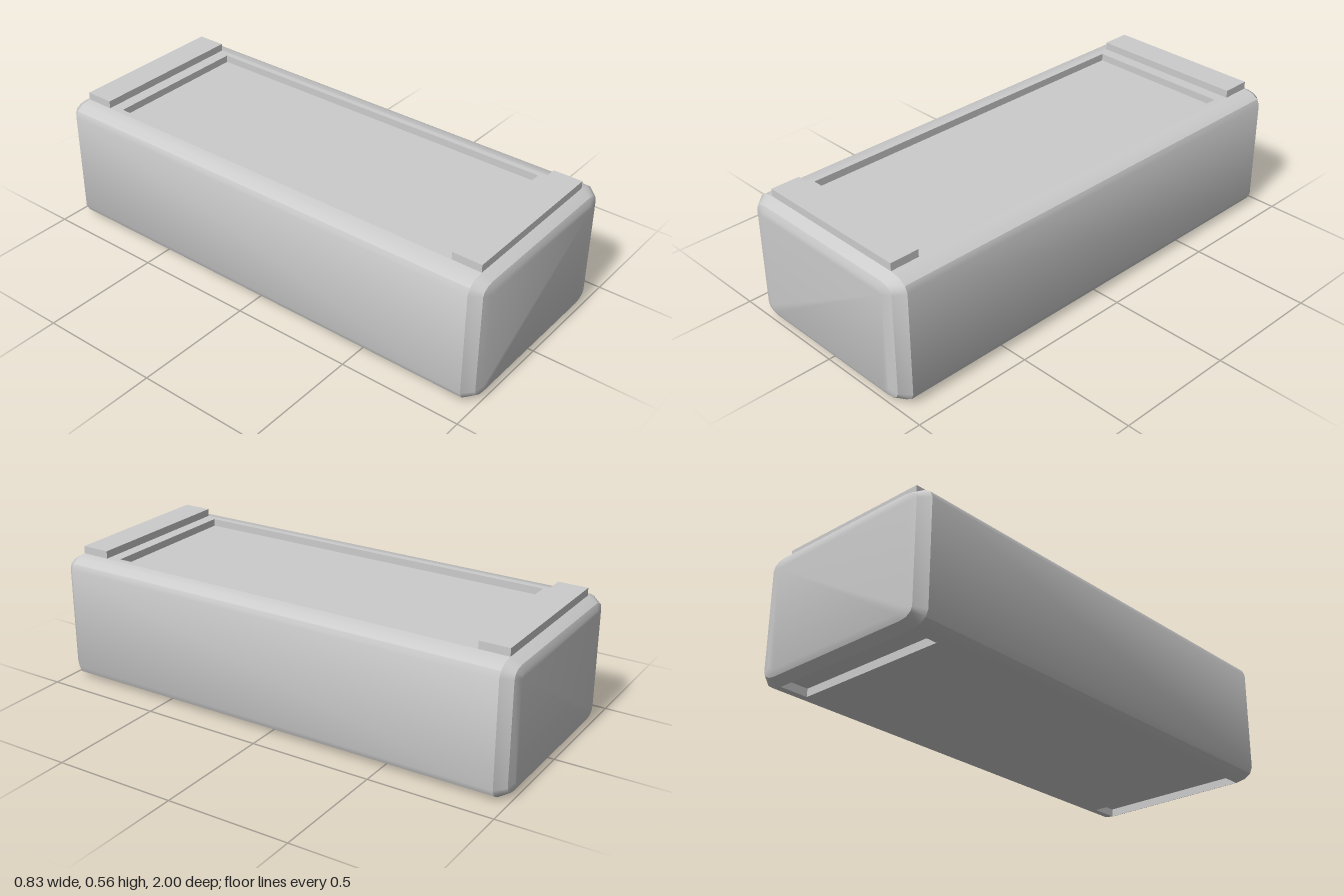
import * as THREE from 'three';
import { toCreasedNormals } from 'three/addons/utils/BufferGeometryUtils.js';

const W = 0.413, H = 0.525, FLAT_X = 0.333, FLAT_Z = 0.95;
const PAD = { x: 0.333, z0: 0.83, z1: 0.95, h: 0.031 };
const mat = new THREE.MeshStandardMaterial({ color: 0xcccccc });

function add(group, name, geometry) {
  const mesh = new THREE.Mesh(geometry, mat);
  mesh.name = name;
  group.add(mesh);
  return mesh;
}

// Rounded rectangle, three facets per corner, counter-clockwise seen from the front
function ring(z, w, h, rx, ry) {
  const pts = [];
  for (let c = 0; c < 4; c++) {
    const sx = c === 0 || c === 3 ? 1 : -1, sy = c < 2 ? 1 : -1;
    for (let k = 0; k < 4; k++) {
      const a = (c + k / 3) * Math.PI / 2;
      pts.push([sx * (w - rx) + rx * Math.cos(a), H / 2 + sy * (h - ry) + ry * Math.sin(a), z]);
    }
  }
  return pts;
}

// Shell lofted along z, left open on the flat top and bottom
function shellGeometry() {
  const half = [
    [FLAT_Z, W, H / 2, 0.08, 0.05],
    [0.99, 0.379, 0.2405, 0.055, 0.035],
    [1, 0.34, 0.217, 0.03, 0.02],
  ];
  const back = [...half].reverse().map(([z, ...r]) => [-z, ...r]);
  const rings = [...back, ...half].map(r => ring(...r));
  const n = rings[0].length, idx = [];
  for (let i = 0; i < rings.length - 1; i++) {
    for (let j = 0; j < n; j++) {
      if (i === 2 && (j === 3 || j === 11)) continue;
      const k = (j + 1) % n, a = i * n + j, b = i * n + k;
      idx.push(a, b, b + n, a, b + n, a + n);
    }
  }
  // end caps
  const last = (rings.length - 1) * n;
  for (let j = 1; j < n - 1; j++) {
    idx.push(0, j + 1, j, last, last + j, last + j + 1);
  }
  const geo = new THREE.BufferGeometry();
  geo.setAttribute('position', new THREE.Float32BufferAttribute(rings.flat(2), 3));
  geo.setIndex(idx);
  return toCreasedNormals(geo, 0.5);
}

function rectPath(Type, x, z0, z1) {
  return new Type([[-x, z0], [x, z0], [x, z1], [-x, z1]].map(p => new THREE.Vector2(...p)));
}

// Flat panel facing up, with rectangular openings [x, z0, z1]
function panelGeometry(openings) {
  const shape = rectPath(THREE.Shape, FLAT_X, -FLAT_Z, FLAT_Z);
  for (const o of openings) shape.holes.push(rectPath(THREE.Path, ...o));
  return new THREE.ShapeGeometry(shape).rotateX(-Math.PI / 2);
}

// Pocket below y = 0: inside of a box without its lid
function pocketGeometry(x, z0, z1, depth) {
  const geo = new THREE.BoxGeometry(2 * x, depth, z1 - z0);
  const src = Array.from(geo.index.array), idx = [];
  for (let i = 0; i < src.length; i += 3) {
    if (i >= 12 && i < 18) continue; // lid
    idx.push(src[i], src[i + 2], src[i + 1]);
  }
  geo.setIndex(idx);
  geo.translate(0, -depth / 2, (z0 + z1) / 2);
  const flat = geo.toNonIndexed();
  flat.computeVertexNormals();
  return flat;
}

export function createModel() {
  const model = new THREE.Group();
  model.name = 'stackableBlock';
  add(model, 'shell', shellGeometry());

  // top with a long shallow recess
  const recess = [0.31, -0.78, 0.78];
  add(model, 'topPanel', panelGeometry([recess])).position.y = H;
  add(model, 'topRecess', pocketGeometry(...recess, 0.03)).position.y = H;

  // raised bars on top at both ends
  for (const s of [1, -1]) {
    const bar = add(model, s > 0 ? 'frontBar' : 'backBar',
      new THREE.BoxGeometry(2 * PAD.x, PAD.h, PAD.z1 - PAD.z0));
    bar.position.set(0, H + PAD.h / 2, s * (PAD.z0 + PAD.z1) / 2);
  }

  // underside with matching slots
  const underside = new THREE.Group();
  underside.name = 'underside';
  underside.rotation.x = Math.PI;
  const x = PAD.x - 0.002, z1 = PAD.z1 - 0.002;
  const slots = [[x, PAD.z0, z1], [x, -z1, -PAD.z0]];
  add(underside, 'bottomPanel', panelGeometry(slots));
  slots.forEach((s, i) => add(underside, i ? 'frontSlot' : 'backSlot', pocketGeometry(...s, 0.033)));
  model.add(underside);
  return model;
}
